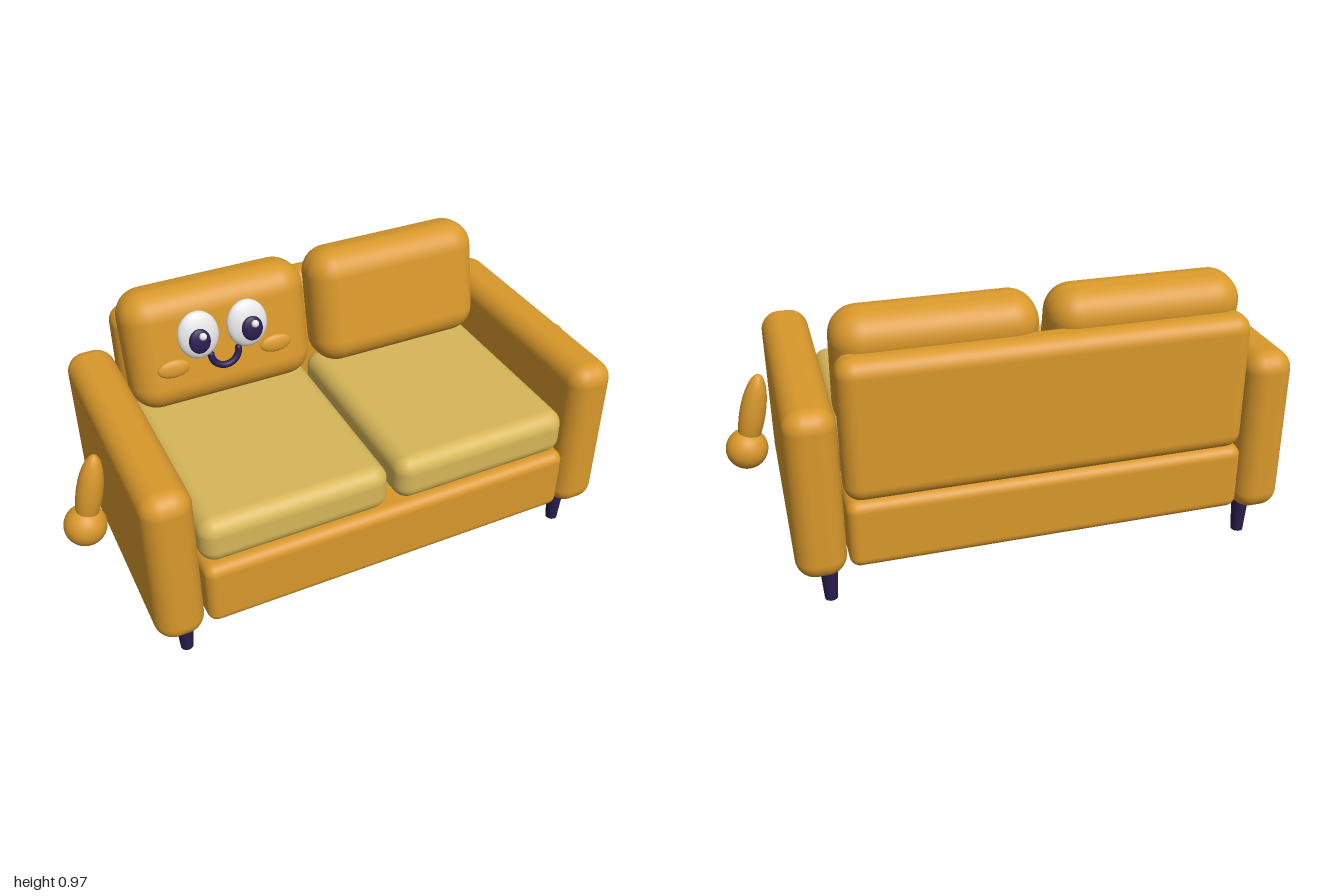
import * as THREE from 'three';
import { RoundedBoxGeometry } from 'three/addons/geometries/RoundedBoxGeometry.js';

const material = (name, color) => {
  const m = new THREE.MeshStandardMaterial({ color });
  m.name = name;
  return m;
};

export function createModel() {
  const orange = material('orange fabric', 0xd9982b);
  const yellow = material('yellow seat fabric', 0xd6b658);
  const navy = material('dark navy', 0x2a1d4e);
  const white = material('eye white', 0xe6e6e6);

  const sofa = new THREE.Group();
  sofa.name = 'sofa';

  const add = (parent, name, geometry, mat, x, y, z) => {
    const mesh = new THREE.Mesh(geometry, mat);
    mesh.name = name;
    mesh.position.set(x, y, z);
    parent.add(mesh);
    return mesh;
  };
  const pad = (w, h, d, r) => new RoundedBoxGeometry(w, h, d, 6, r);
  const ball = (rx, ry, rz) => new THREE.SphereGeometry(1, 32, 24).scale(rx, ry, rz);

  // Body
  add(sofa, 'base', pad(1.325, 0.235, 0.905, 0.035), orange, 0, 0.273, 0);
  add(sofa, 'backPanel', pad(1.325, 0.475, 0.13, 0.055), orange, 0, 0.623, -0.39);

  for (const s of [-1, 1]) {
    const side = s > 0 ? 'left' : 'right';

    // Armrest and cushions
    add(sofa, side + 'Armrest', pad(0.163, 0.587, 0.908, 0.065), orange, s * 0.748, 0.4185, 0);
    add(sofa, side + 'SeatCushion', pad(0.647, 0.165, 0.76, 0.055), yellow, s * 0.337, 0.468, 0.055);
    const back = new THREE.Group();
    back.name = side + 'BackCushion';
    back.position.set(s * 0.337, 0.76, -0.265);
    back.rotation.x = -0.18;
    sofa.add(back);
    add(back, side + 'BackPad', pad(0.647, 0.42, 0.205, 0.092), orange, 0, 0, 0);
    if (s < 0) addFace(back);

    // Legs
    for (const [end, z] of [['Front', 0.358], ['Back', -0.356]]) {
      add(sofa, side + end + 'Leg', new THREE.CylinderGeometry(0.031, 0.021, 0.15, 24), navy, s * 0.725, 0.075, z);
    }

    // Little arm leaning in towards the armrest, with a round hand
    const arm = add(sofa, side + 'Arm', ball(0.043, 0.145, 0.043), orange, s * 0.899, 0.494, 0.05);
    arm.rotation.z = s * 0.24;
    add(sofa, side + 'Hand', ball(0.07, 0.07, 0.07), orange, s * 0.93, 0.367, 0.05);
  }

  // Face, laid out on the tilted front of a cushion
  function addFace(cushion) {
    const face = new THREE.Group();
    face.name = 'face';
    face.position.x = -0.008;
    cushion.add(face);
    for (const s of [-1, 1]) {
      const side = s > 0 ? 'left' : 'right';
      add(face, side + 'Eye', ball(0.071, 0.083, 0.03), white, s * 0.086, 0.055, 0.119);
      add(face, side + 'Pupil', ball(0.037, 0.043, 0.013), navy, s * 0.092, 0.044, 0.151);
      add(face, side + 'Highlight', ball(0.013, 0.013, 0.011), white, s * 0.091 + 0.008, 0.063, 0.165);
      add(face, side + 'Cheek', ball(0.056, 0.031, 0.014), orange, s * 0.182, -0.046, 0.111);
    }
    // Smile: lower half ring with rounded ends
    const smile = new THREE.TorusGeometry(0.049, 0.012, 12, 32, Math.PI).rotateZ(Math.PI);
    add(face, 'smile', smile, navy, 0, -0.03, 0.108);
    for (const s of [-1, 1]) {
      add(face, 'smileEnd', ball(0.012, 0.012, 0.012), navy, s * 0.049, -0.03, 0.108);
    }
  }

  return sofa;
}
